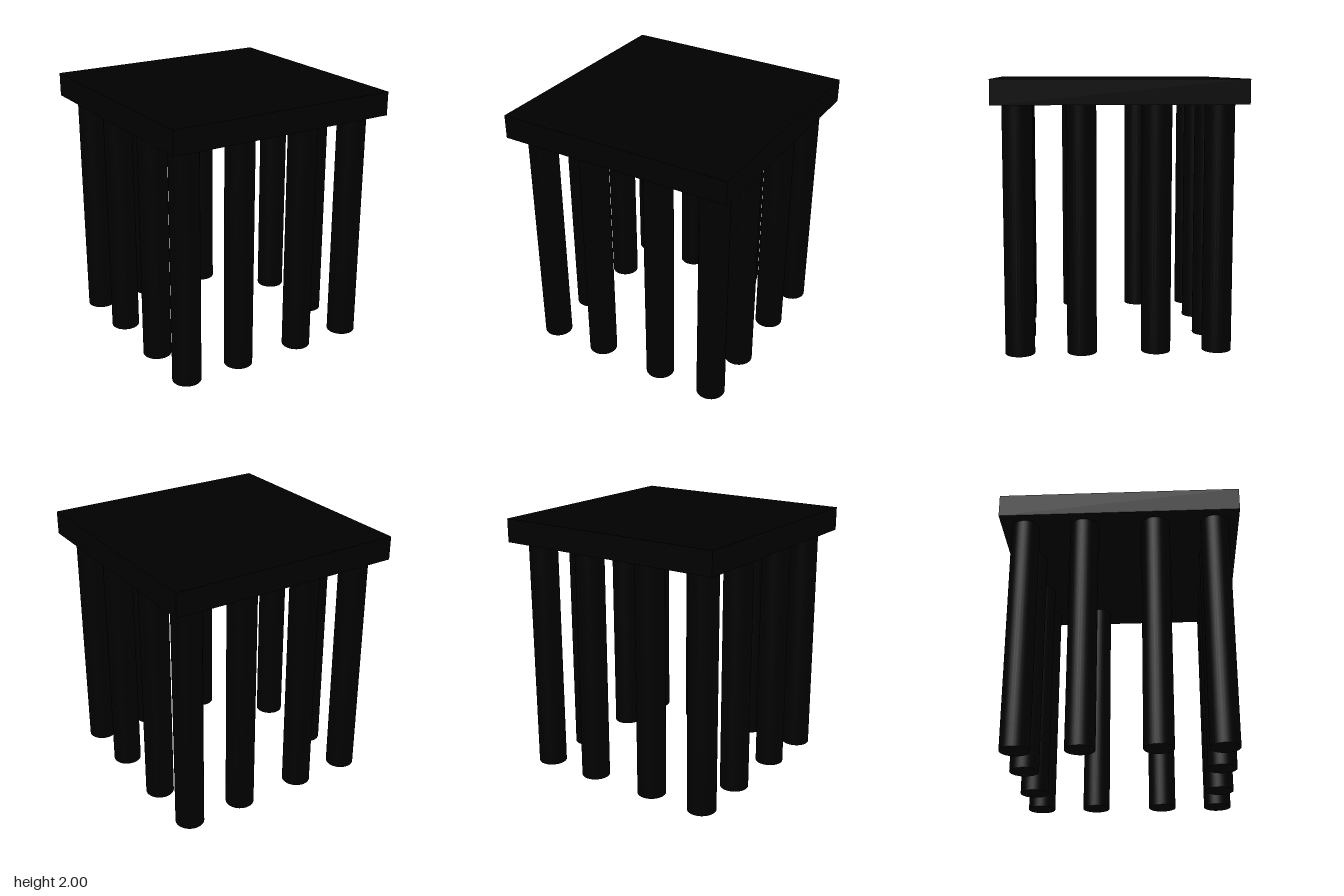
import * as THREE from 'three';

export function createModel() {
  const model = new THREE.Group();
  model.name = 'colonnadePavilion';
  const black = new THREE.MeshStandardMaterial({ color: 0x000000 });

  const height = 2, slabThickness = 0.18, slabWidth = 1.82;
  const columnHeight = height - slabThickness, columnRadius = 0.109;

  // Square roof slab
  const roof = new THREE.Mesh(new THREE.BoxGeometry(slabWidth, slabThickness, slabWidth), black);
  roof.name = 'roofSlab';
  roof.position.y = height - slabThickness / 2;
  model.add(roof);

  // Round columns around the perimeter, with the middle left open
  const columns = new THREE.Group();
  columns.name = 'columns';
  const columnGeometry = new THREE.CylinderGeometry(columnRadius, columnRadius, columnHeight, 32);
  const spots = [-0.727, -0.273, 0.273, 0.727];
  const isOuter = (i) => i === 0 || i === spots.length - 1;
  spots.forEach((x, i) => spots.forEach((z, j) => {
    if (!isOuter(i) && !isOuter(j)) return;
    const column = new THREE.Mesh(columnGeometry, black);
    column.name = 'column';
    column.position.set(x, columnHeight / 2, z);
    columns.add(column);
  }));
  model.add(columns);

  return model;
}
